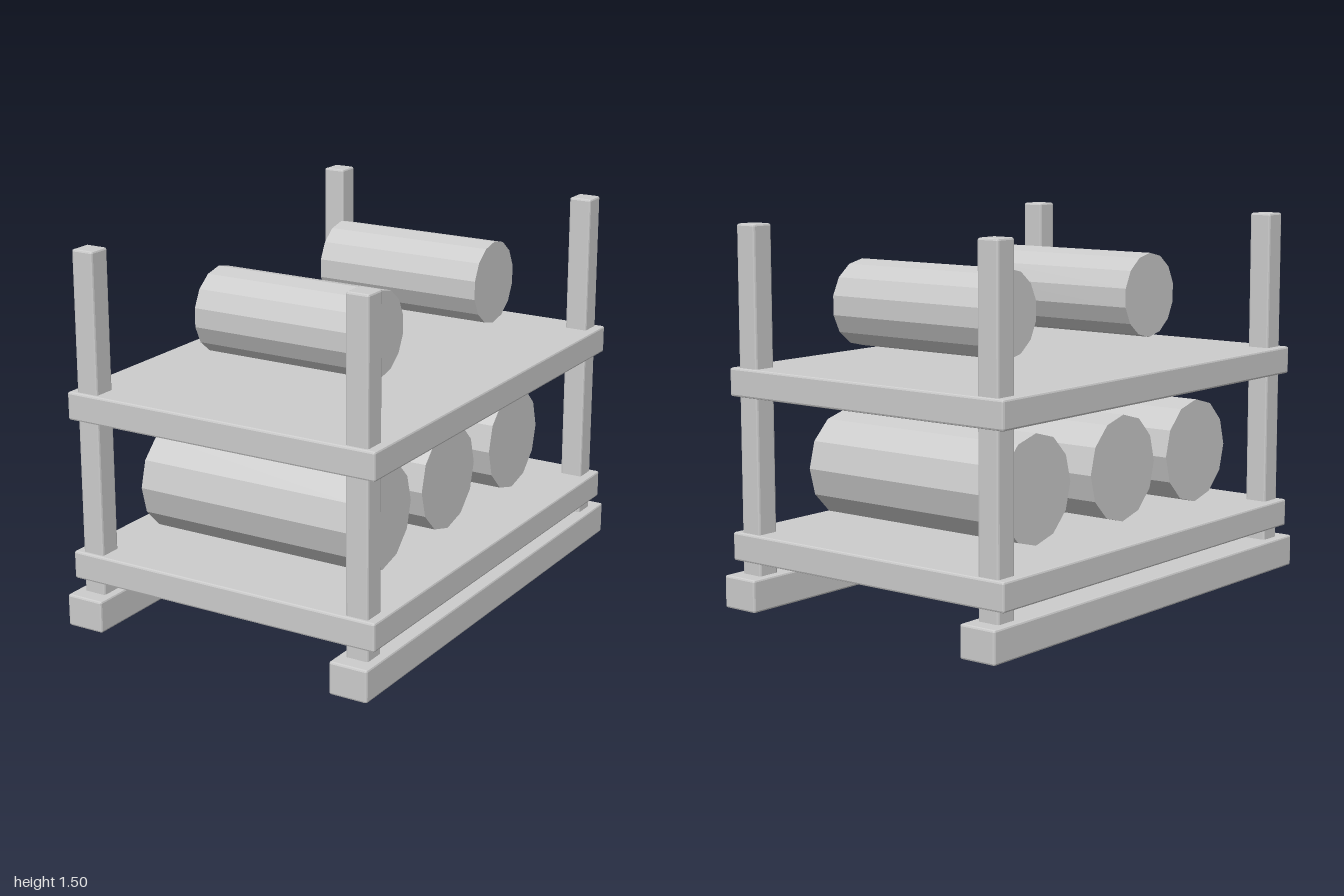
import * as THREE from 'three';
import { RoundedBoxGeometry } from 'three/addons/geometries/RoundedBoxGeometry.js';

export function createModel() {
  const model = new THREE.Group();
  model.name = 'rollRack';
  const grey = new THREE.MeshStandardMaterial({ color: 0xcccccc, flatShading: true });
  grey.name = 'lightGrey';

  const add = (name, geometry, x, y, z) => {
    const mesh = new THREE.Mesh(geometry, grey);
    mesh.name = name;
    mesh.position.set(x, y, z);
    model.add(mesh);
  };

  // Box with slightly softened edges, placed by its lower and upper heights
  const beam = (name, width, depth, y0, y1, x = 0, z = 0) =>
    add(name, new RoundedBoxGeometry(width, y1 - y0, depth, 1, 0.008), x, (y0 + y1) / 2, z);

  // Faceted roll lying along x, with a corner at the top
  const roll = (name, radius, length, sides, y, z) => {
    const geometry = new THREE.CylinderGeometry(radius, radius, length, sides);
    geometry.rotateZ(Math.PI / 2);
    // bring a profile corner to the very top
    const p = geometry.attributes.position;
    geometry.rotateX(-Math.atan2(p.getZ(0), p.getY(0)));
    add(name, geometry, 0, y, z);
  };

  // Ground runners and corner posts
  for (const sx of [-1, 1]) {
    beam('runner', 0.16, 2, 0, 0.13, sx * 0.595);
    for (const sz of [-1, 1]) beam('post', 0.094, 0.094, 0.12, 1.495, sx * 0.593, sz * 0.887);
  }

  // Shelves
  beam('lowerShelf', 1.352, 1.9, 0.18, 0.293);
  beam('upperShelf', 1.352, 1.9, 0.828, 0.94);

  // Rolls on each shelf
  for (const z of [0.555, 0.045, -0.51]) roll('lowerRoll', 0.2125, 0.955, 12, 0.533, z);
  for (const z of [0.38, -0.53]) roll('upperRoll', 0.17, 0.728, 14, 1.18, z);

  return model;
}
